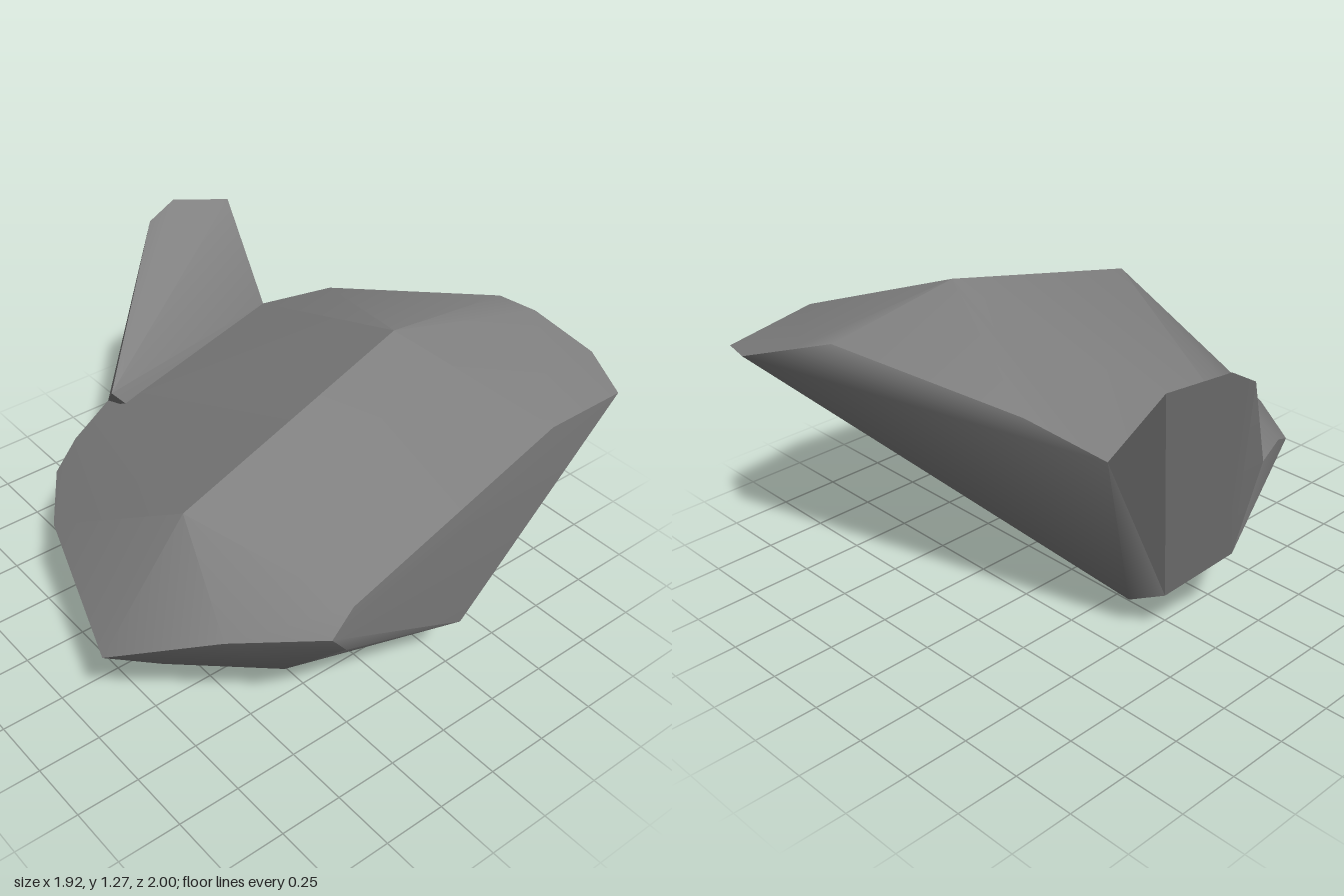
import * as THREE from 'three';
import { ConvexGeometry } from 'three/addons/geometries/ConvexGeometry.js';
import { toCreasedNormals } from 'three/addons/utils/BufferGeometryUtils.js';

const stone = new THREE.MeshStandardMaterial({ color: 0x808080 });
stone.name = 'grey stone';

// Corners shared by the boulder and its upright flake
const lowLeft = [-0.73, 0.365, 0.09];
const lowBack = [-0.6, 0.22, -0.12];
const sideFront = [-0.7, 0.66, 0.28];
const notch = [-0.6, 0.89, -0.43];

// Convex chunk of stone, soft on top and sharp along the breaks
function chunk(name, corners) {
  const hull = new ConvexGeometry(corners.map((c) => new THREE.Vector3(...c)));
  const mesh = new THREE.Mesh(toCreasedNormals(hull, 0.7), stone);
  mesh.name = name;
  return mesh;
}

export function createModel() {
  const model = new THREE.Group();
  model.name = 'rock';

  model.add(chunk('boulder', [
    // underside
    [0.435, 0.005, 0.12], [-0.46, 0.155, -0.16], lowBack, lowLeft,
    [0.865, 0.34, -0.18], [0.66, 0.345, 0.47], [0.38, 0.35, 0.79],
    // front rim
    [0.33, 0.47, 1], [-0.27, 0.57, 0.81], [-0.54, 0.565, 0.63],
    [-0.6, 0.63, 0.5], sideFront,
    // right rim
    [0.72, 0.695, 0.77], [0.96, 0.74, 0.52], [0.94, 0.635, 0.44],
    [0.955, 0.83, 0.43], [0.875, 1.05, -0.54],
    // back rim
    [0.84, 1.01, -0.925], [0.64, 1.055, -1], [0.4, 1.14, -0.94],
    [0.28, 1.175, -0.87], [-0.36, 1.02, -0.58], notch,
    // crown
    [0.3, 1.25, -0.31], [0.4, 0.99, 0.69],
  ]));

  model.add(chunk('flake', [
    lowLeft, lowBack, sideFront, notch,
    [-0.57, 0.79, 0.34],
    // tip
    [-0.965, 1.21, -0.14], [-0.955, 1.275, -0.25], [-0.87, 1.245, -0.46],
  ]));

  return model;
}
